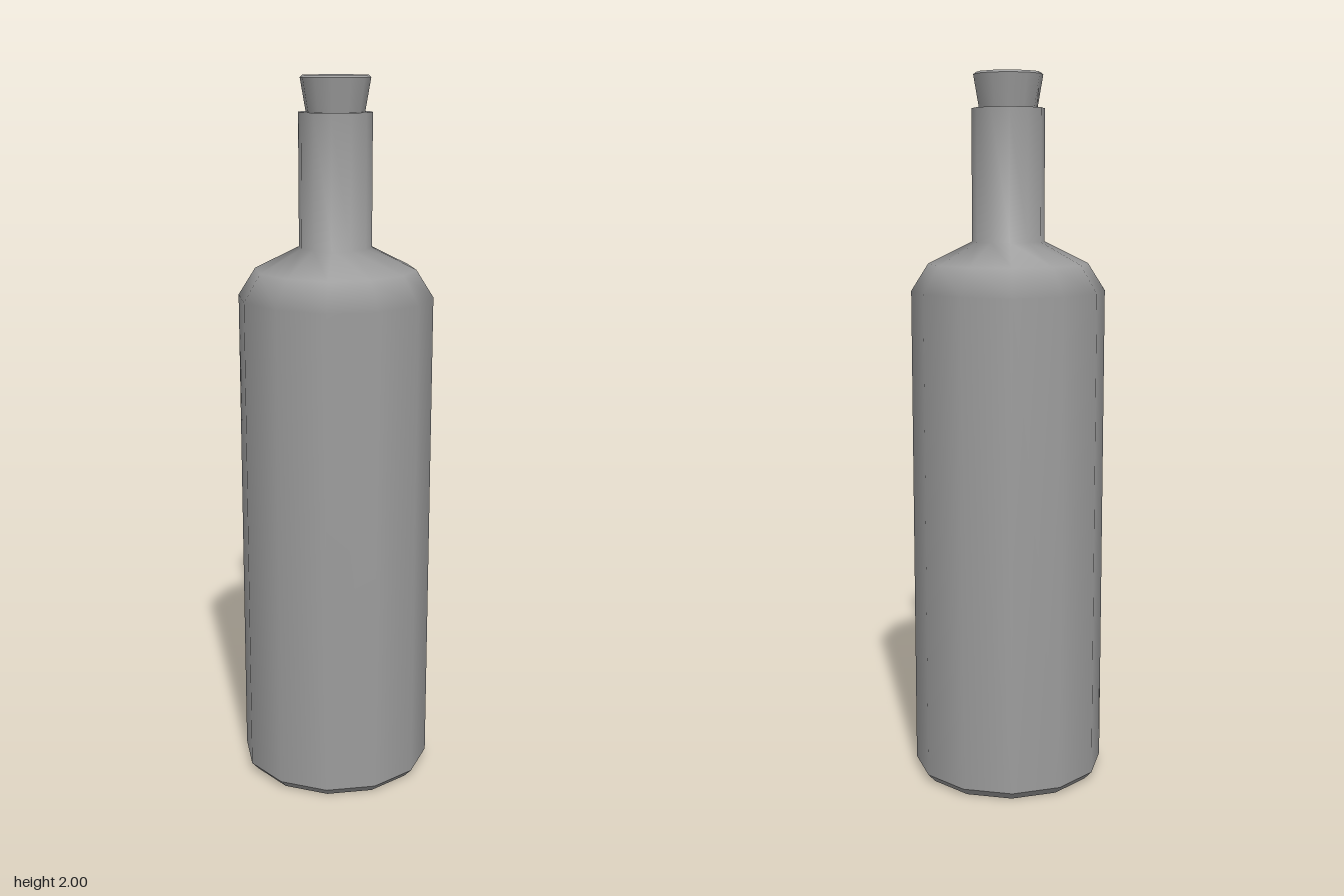
import * as THREE from 'three';

const SIDES = 12;

export function createModel() {
  const model = new THREE.Group();
  model.name = 'corkedBottle';
  const material = new THREE.MeshStandardMaterial({ color: 0x9c9c9c });

  // Each profile is a smooth run of [radius, height] points; edges between runs stay sharp.
  function turned(name, profiles) {
    const part = new THREE.Group();
    part.name = name;
    for (const [label, points] of Object.entries(profiles)) {
      const curve = points.map(([r, y]) => new THREE.Vector2(r, y));
      const mesh = new THREE.Mesh(new THREE.LatheGeometry(curve, SIDES), material);
      mesh.name = label;
      part.add(mesh);
    }
    model.add(part);
  }

  // Bottle: flat base, small chamfer, body with sloped shoulder and neck, flat lip
  turned('bottle', {
    base: [[0, 0], [0.25, 0]],
    baseChamfer: [[0.25, 0], [0.272, 0.024]],
    bodyShoulderNeck: [[0.272, 0.024], [0.272, 1.405], [0.224, 1.481], [0.101, 1.542], [0.101, 1.904]],
    lip: [[0.101, 1.904], [0.076, 1.904]],
  });

  // Cork: tapered plug with a thin bevel around its top
  turned('cork', {
    corkBottom: [[0, 1.89], [0.078, 1.89]],
    corkSide: [[0.078, 1.89], [0.096, 1.994]],
    corkBevel: [[0.096, 1.994], [0.089, 2]],
    corkTop: [[0.089, 2], [0, 2]],
  });

  return model;
}
